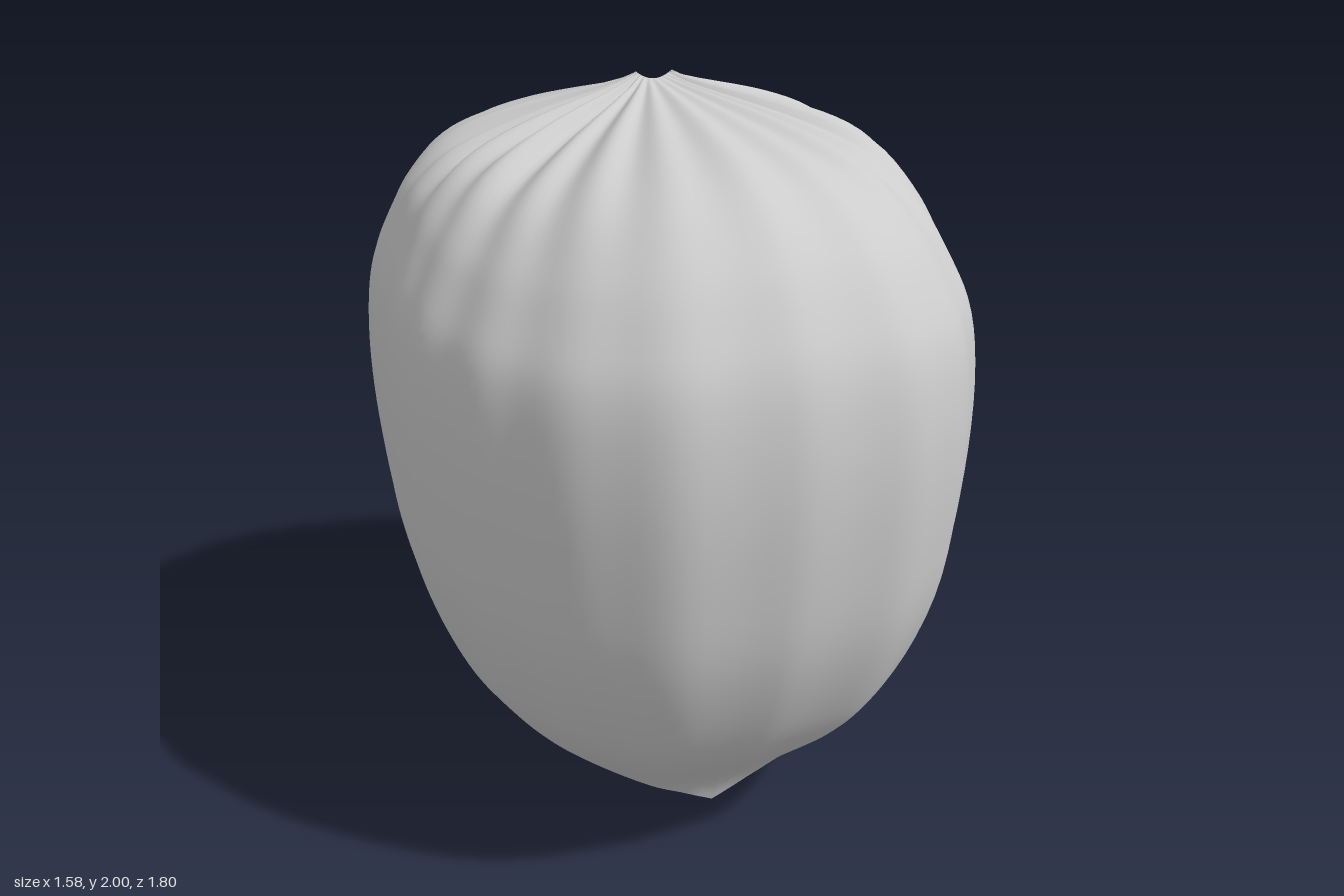
import * as THREE from 'three';

// Half outline from front to back: plan x, height of the open rim, plan z
const outline = new THREE.CatmullRomCurve3([
  [0, 0, 0.895], [0.18, 0.055, 0.885], [0.37, 0.12, 0.83], [0.63, 0.26, 0.55], [0.74, 0.36, 0.27],
  [0.77, 0.48, 0.13], [0.783, 0.59, -0.02], [0.783, 0.69, -0.2], [0.768, 0.81, -0.39],
  [0.735, 0.94, -0.55], [0.66, 1.09, -0.69], [0.56, 1.22, -0.8], [0.34, 1.31, -0.885], [0, 1.335, -0.92],
].map((p) => new THREE.Vector3(...p)));

// Profile from the gathered crown downwards: share of the plan radius, height
const profile = new THREE.SplineCurve([
  [0, 1.98], [0.4, 1.915], [0.66, 1.845], [0.82, 1.73], [0.915, 1.6], [0.975, 1.46], [1, 1.25],
  [0.99, 1], [0.955, 0.76], [0.87, 0.53], [0.76, 0.36], [0.53, 0.12], [0.47, 0],
].map((p) => new THREE.Vector2(...p)));

// Position along the profile at which it reaches a height
function profileEnd(y) {
  let lo = 0, hi = 1;
  for (let k = 0; k < 30; k++) {
    const mid = (lo + hi) / 2;
    if (profile.getPoint(mid).y > y) lo = mid; else hi = mid;
  }
  return (lo + hi) / 2;
}

// Smooth hump over 0..width
const hump = (t, width) => Math.sin(Math.PI * Math.min(1, t / width));

function shellGeometry() {
  const half = 104, columns = half * 2, rows = 44, crownZ = -0.16;
  const positions = [], index = [];
  for (let j = 0; j < columns; j++) {
    const side = j <= half ? 1 : -1;
    const o = outline.getPointAt((j <= half ? j : columns - j) / half);
    const end = profileEnd(Math.max(0, o.y));
    const angle = Math.atan2(o.x, o.z - crownZ);
    const sideways = Math.sin(angle) ** 2;
    const diagonal = Math.abs(Math.sin(2 * angle));
    const wave = 0.7 * Math.cos(angle * 24) + 0.3 * Math.cos(angle * 11);
    const back = Math.max(0, -Math.cos(angle));
    // The right-hand corners are slightly fuller than the left-hand ones
    const fullness = 1 - 0.012 * side * diagonal;
    // Shoulders slope lower at the corners, most of all at the front right
    const slope = diagonal ** 2 * (back > 0 ? 0.035 : 0.045 - 0.015 * side);
    const sideDip = 0.03 * Math.exp(-(((angle - Math.PI / 2) / 0.25) ** 2));
    for (let i = 0; i <= rows; i++) {
      const v = i / rows;
      const t = v * end;
      const p = profile.getPoint(t);
      const crown = Math.max(0, 1 - t / 0.3);
      // Pleats are deepest near the crown; a faint ripple fades out at the smooth rim
      const pleat = hump(t, 0.3) * crown * (0.015 + 0.03 * sideways) * wave;
      const ripple = 0.009 * (1 - v ** 4) * wave;
      const tuck = 0.035 * back * v ** 10;
      const f = p.x * fullness * (1 + ripple) - tuck;
      positions.push(
        side * (o.x * f + 0.05 * Math.sin(angle) * crown),
        p.y + pleat - slope * hump(t, 0.45) - sideDip * hump(t, 0.25)
          + 0.02 * Math.exp(-t * 40) * sideways,
        crownZ + (o.z - crownZ) * f,
      );
    }
  }
  for (let j = 0; j < columns; j++) {
    for (let i = 0; i < rows; i++) {
      const a = j * (rows + 1) + i;
      const d = ((j + 1) % columns) * (rows + 1) + i;
      index.push(a, a + 1, d, a + 1, d + 1, d);
    }
  }
  const g = new THREE.BufferGeometry();
  g.setAttribute('position', new THREE.Float32BufferAttribute(positions, 3));
  g.setIndex(index);
  g.computeVertexNormals();
  return g;
}

export function createModel() {
  const group = new THREE.Group();
  group.name = 'pleatedHood';
  const grey = new THREE.MeshStandardMaterial({ color: 0xcccccc, side: THREE.DoubleSide });
  grey.name = 'light grey';
  // Open shell gathered at the crown, pointed at the lower front
  const shell = new THREE.Mesh(shellGeometry(), grey);
  shell.name = 'shell';
  group.add(shell);
  return group;
}
